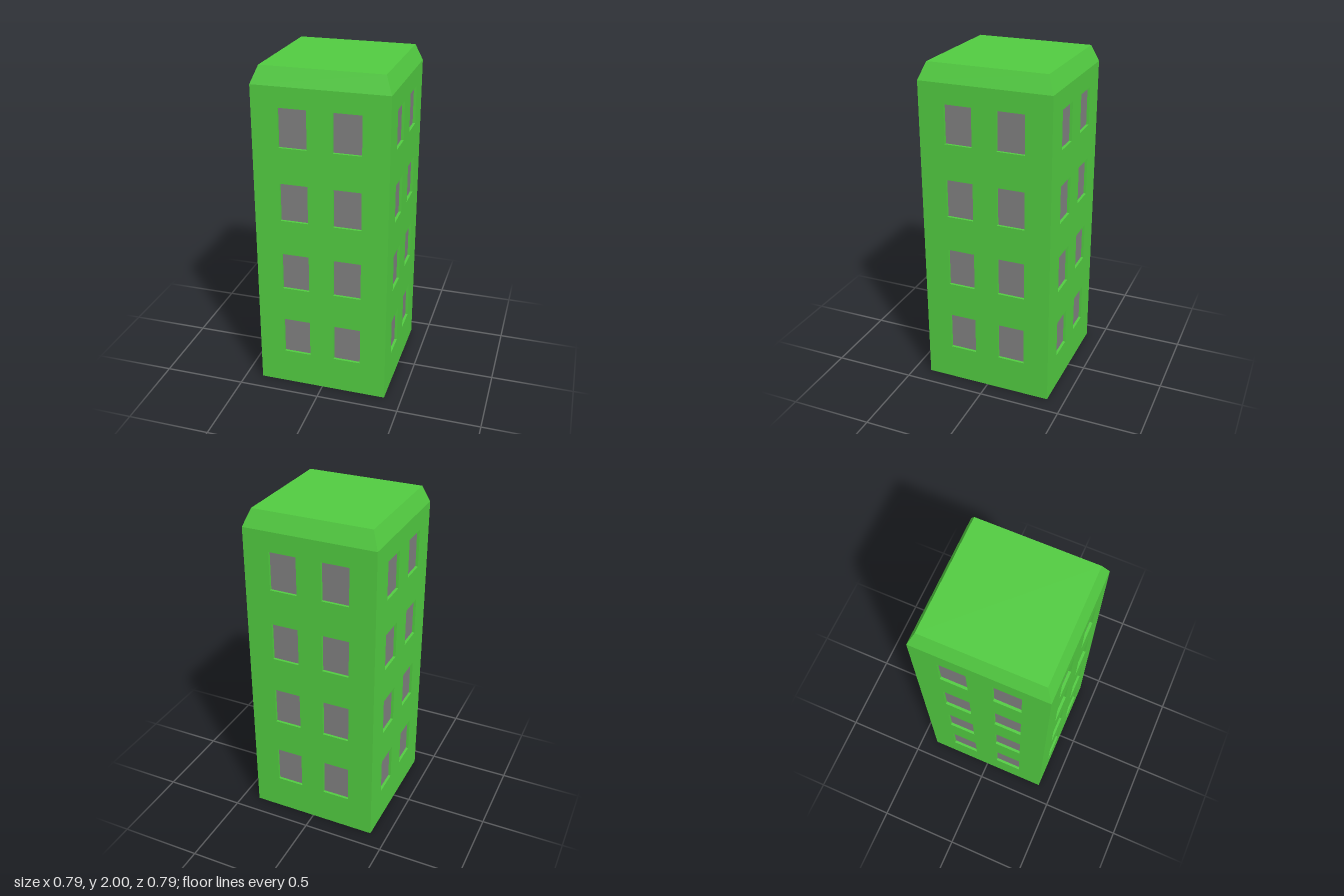
import * as THREE from 'three';

const HALF = 0.395, WALL_H = 1.9, TOP_H = 2, ROOF_HALF = 0.355, DEPTH = 0.016;
const WIN_W = 0.165, WIN_H = 0.23, WIN_X = 0.157, WIN_Y = 0.22, FLOOR_STEP = 0.444;

const green = new THREE.MeshStandardMaterial({ color: 0x52cc41, flatShading: true });
const grey = new THREE.MeshStandardMaterial({ color: 0x808080, flatShading: true });

function rect(PathType, x0, y0, x1, y1) {
  return new PathType([[x0, y0], [x1, y0], [x1, y1], [x0, y1]].map(([x, y]) => new THREE.Vector2(x, y)));
}

// One wall panel with window openings and recessed panes, facing +z
function makeSide(halfWidth) {
  const side = new THREE.Group();
  const shape = rect(THREE.Shape, -halfWidth, 0, halfWidth, WALL_H);
  for (let floor = 0; floor < 4; floor++) {
    for (const s of [-1, 1]) {
      const x = s * WIN_X, y = WIN_Y + floor * FLOOR_STEP;
      shape.holes.push(rect(THREE.Path, x - WIN_W / 2, y, x + WIN_W / 2, y + WIN_H));
      const pane = new THREE.Mesh(new THREE.PlaneGeometry(WIN_W, WIN_H), grey);
      pane.name = 'windowPane';
      pane.position.set(x, y + WIN_H / 2, HALF - DEPTH);
      side.add(pane);
    }
  }
  const wall = new THREE.Mesh(new THREE.ExtrudeGeometry(shape, { depth: DEPTH, bevelEnabled: false }), green);
  wall.name = 'wall';
  wall.position.z = HALF - DEPTH;
  side.add(wall);
  return side;
}

export function createModel() {
  const model = new THREE.Group();
  model.name = 'towerBlock';

  // Four sides; the left and right walls fit between the front and back ones
  ['frontSide', 'leftSide', 'backSide', 'rightSide'].forEach((name, i) => {
    const side = makeSide(i % 2 ? HALF - DEPTH : HALF);
    side.name = name;
    side.rotation.y = i * Math.PI / 2;
    model.add(side);
  });

  // Bevelled roof
  const roofGeo = new THREE.CylinderGeometry(ROOF_HALF * Math.SQRT2, HALF * Math.SQRT2, TOP_H - WALL_H, 4);
  roofGeo.rotateY(Math.PI / 4);
  const roof = new THREE.Mesh(roofGeo, green);
  roof.name = 'roof';
  roof.position.y = (WALL_H + TOP_H) / 2;
  model.add(roof);

  // Underside
  const base = new THREE.Mesh(new THREE.PlaneGeometry(HALF * 2, HALF * 2), green);
  base.name = 'base';
  base.rotation.x = Math.PI / 2;
  model.add(base);

  return model;
}
